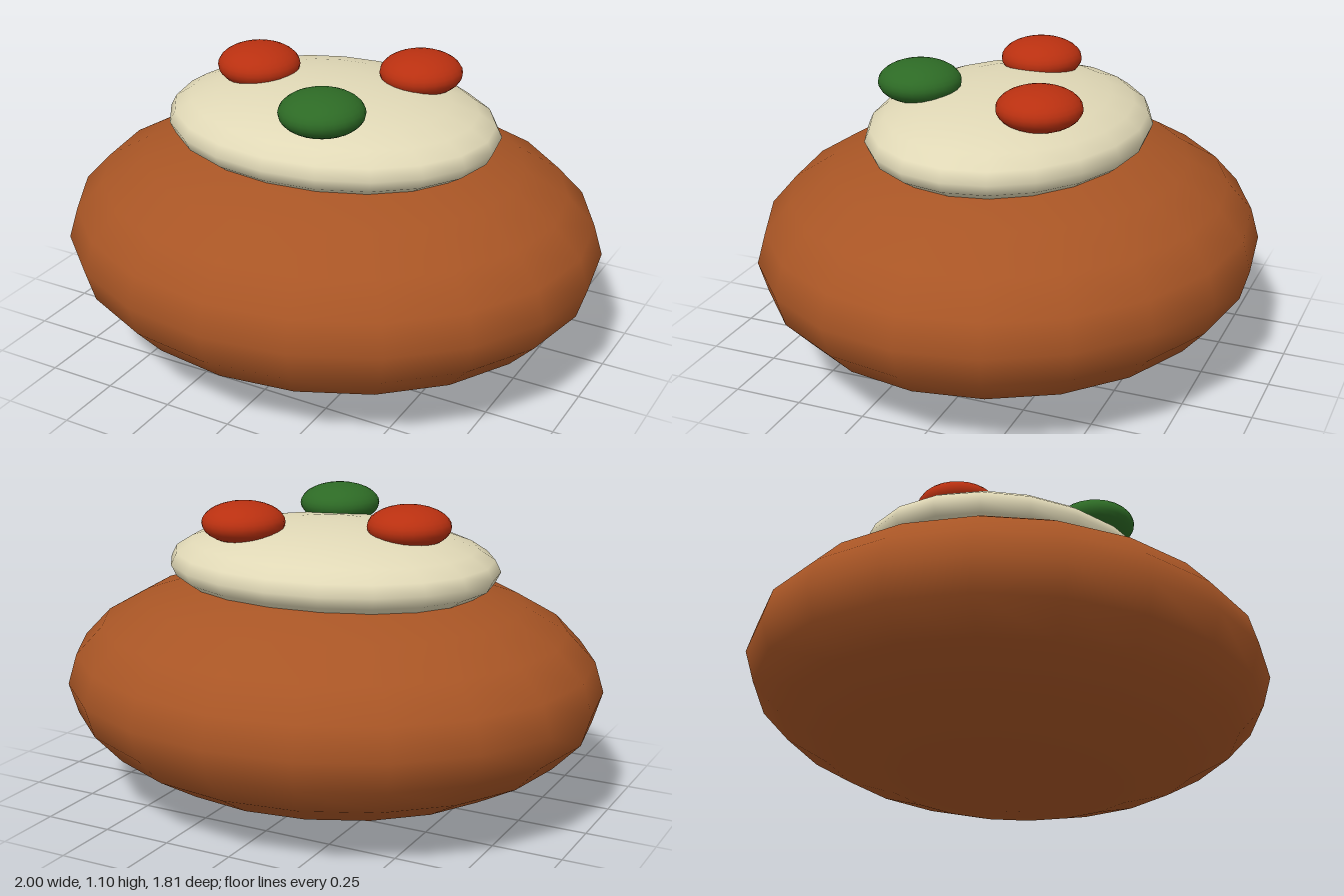
import * as THREE from 'three';

const paint = (name, color) => {
  const m = new THREE.MeshStandardMaterial({ color });
  m.name = name;
  return m;
};

// Squashed smooth ball with the given radii and centre
function ellipsoid(name, material, [rx, ry, rz], [x, y, z], across, down) {
  const geometry = new THREE.SphereGeometry(1, across, down).scale(rx, ry, rz);
  const mesh = new THREE.Mesh(geometry, material);
  mesh.name = name;
  mesh.position.set(x, y, z);
  return mesh;
}

export function createModel() {
  const crust = paint('baked brown', 0xa85525);
  const cream = paint('cream', 0xe0d8b6);
  const red = paint('red', 0xb93010);
  const green = paint('green', 0x2d6a25);

  const model = new THREE.Group();
  model.name = 'toppedPotato';

  // Body and the dollop resting on it
  model.add(ellipsoid('body', crust, [1, 0.43, 0.905], [0, 0.43, 0], 20, 12));
  model.add(ellipsoid('creamDollop', cream, [0.625, 0.16, 0.5], [0, 0.86, 0], 20, 12));

  // Toppings pressed into the dollop
  const toppings = [
    ['redToppingRight', red, -0.305, 0],
    ['redToppingLeft', red, 0.25, -0.205],
    ['greenTopping', green, 0.125, 0.3],
  ];
  for (const [name, material, x, z] of toppings) {
    model.add(ellipsoid(name, material, [0.15, 0.075, 0.15], [x, 1.025, z], 24, 16));
  }
  return model;
}
